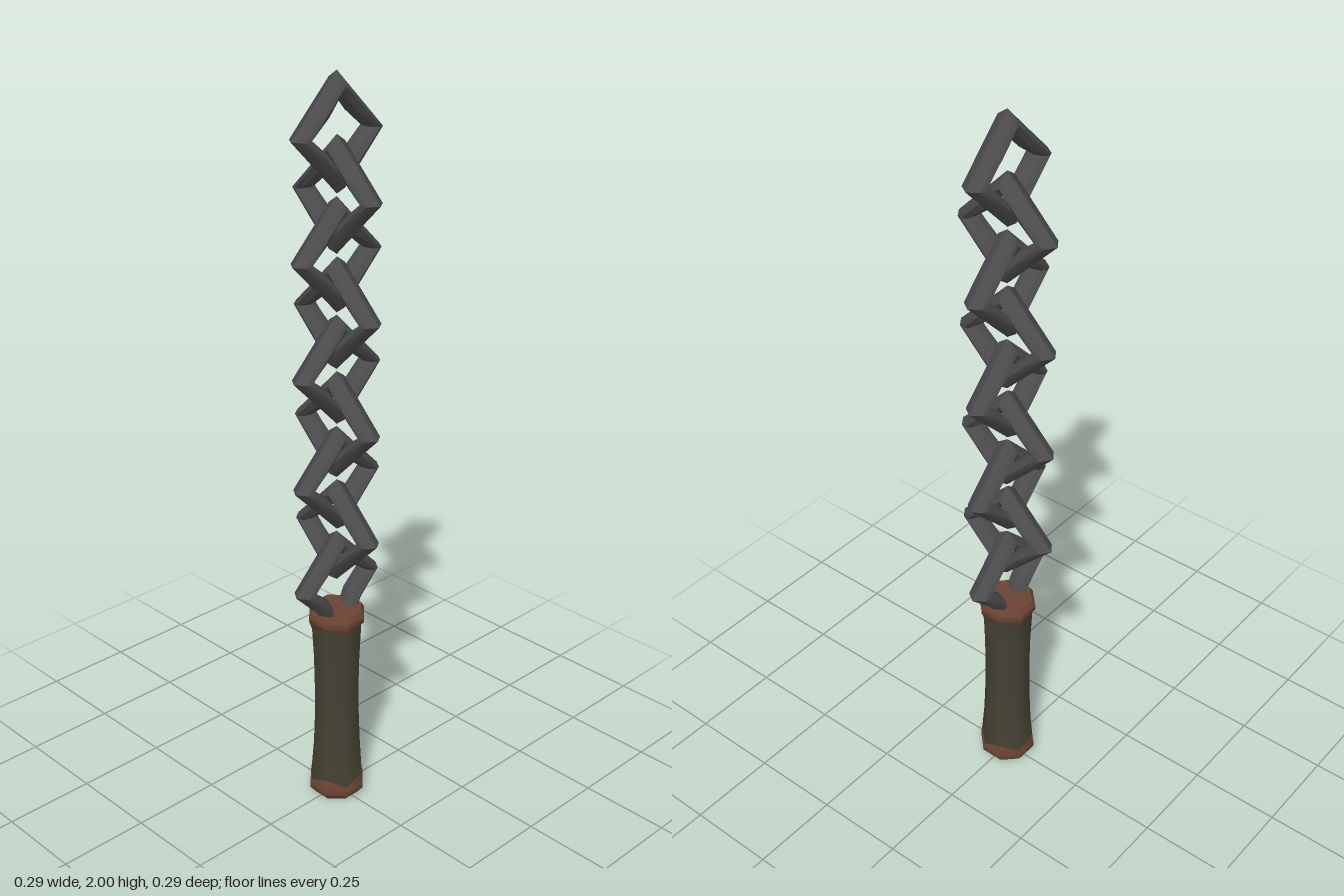
import * as THREE from 'three';
import { toCreasedNormals } from 'three/addons/utils/BufferGeometryUtils.js';

const mat = (name, color) => new THREE.MeshStandardMaterial({ name, color });

// Bar cross-section as [radius, depth]: at the diamond's corners and at mid-side,
// where the bar swells inwards.
const CORNER = [[0.146, 0], [0.127, 0.027], [0.113, 0.032], [0.1, 0.022], [0.094, 0],
  [0.1, -0.022], [0.113, -0.032], [0.127, -0.027]];
const MIDDLE = [[0.103, 0], [0.09, 0.027], [0.08, 0.032], [0.064, 0.022], [0.057, 0],
  [0.064, -0.022], [0.08, -0.032], [0.09, -0.027]];

// Diamond ring in the xy plane; drop lowers its bottom corner
function linkGeometry(drop = 0) {
  const pos = [], idx = [], n = 8;
  for (let i = 0; i < n; i++) {
    const a = (i * Math.PI) / 4;
    for (const [r, w] of i % 2 ? MIDDLE : CORNER) {
      pos.push(r * Math.cos(a), r * Math.sin(a) - (i === 6 ? drop : 0), w);
    }
  }
  for (let i = 0; i < n; i++) {
    for (let j = 0; j < n; j++) {
      const i2 = (i + 1) % n, j2 = (j + 1) % n;
      const a = i * n + j, b = i2 * n + j, c = i2 * n + j2, d = i * n + j2;
      idx.push(a, b, c, a, c, d);
    }
  }
  const g = new THREE.BufferGeometry();
  g.setAttribute('position', new THREE.Float32BufferAttribute(pos, 3));
  g.setIndex(idx);
  return toCreasedNormals(g, 0.7);
}

// Heights of the uneven borders between wrap and caps, with their amplitude
const BORDERS = [[0.055, 0.012], [0.535, 0.007]];

// Eight-sided turned part, with the wrap borders made wavy
function turned(points) {
  const g = new THREE.LatheGeometry(points.map(([r, y]) => new THREE.Vector2(r, y)),
    8, Math.PI / 8);
  const p = g.attributes.position;
  for (let i = 0; i < p.count; i++) {
    for (const [y, amp] of BORDERS) {
      if (Math.abs(p.getY(i) - y) < 0.001) {
        p.setY(i, y + amp * Math.sin(4 * Math.atan2(p.getX(i), p.getZ(i))));
        break;
      }
    }
  }
  return toCreasedNormals(g, 0.85);
}

export function createModel() {
  const model = new THREE.Group();
  model.name = 'chainWhip';
  const steel = mat('darkSteel', 0x4b4b4d);
  const leather = mat('brownLeather', 0x6b4433);
  const cloth = mat('oliveWrap', 0x444133);

  const add = (name, geometry, material) => {
    const mesh = new THREE.Mesh(geometry, material);
    mesh.name = name;
    model.add(mesh);
    return mesh;
  };

  // Handle: end cap, waisted grip and collar
  add('endCap', turned([[0, 0], [0.064, 0], [0.079, 0.018], [0.079, 0.035], [0.075, 0.055]]), leather);
  add('grip', turned([[0.075, 0.055], [0.069, 0.14], [0.065, 0.24], [0.064, 0.34],
    [0.066, 0.44], [0.071, 0.535]]), cloth);
  add('collar', turned([[0.071, 0.535], [0.079, 0.55], [0.079, 0.566], [0.07, 0.58], [0, 0.58]]), leather);

  // Chain: nine links, each turned a quarter from the last; the lowest is anchored in the handle
  const link = linkGeometry();
  const anchor = linkGeometry(0.05);
  for (let i = 0; i < 9; i++) {
    const mesh = add(i ? 'chainLink' + i : 'anchorLink', i ? link : anchor, steel);
    mesh.position.y = 0.662 + i * 0.149;
    mesh.rotation.y = i % 2 ? Math.PI / 2 : 0;
  }
  return model;
}
